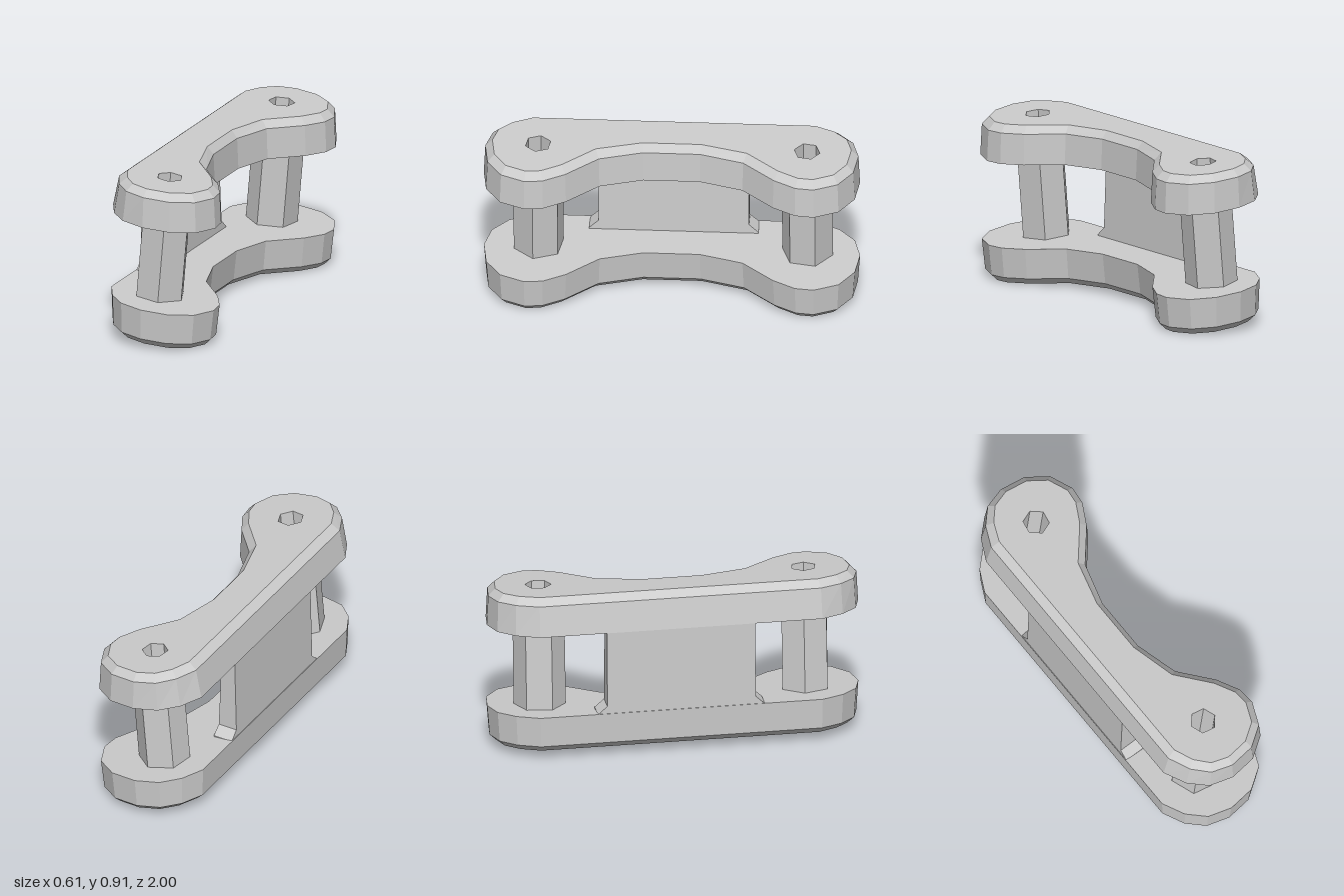
import * as THREE from 'three';

const SLOPE = -0.087;               // everything leans about 5 degrees
const PINS = [
  { v: -0.71, rot: 10 },            // front pin (v = -z)
  { v: 0.72, rot: -20 },            // back pin
];
const BORE = 0.07, PIN_R = 0.138;

const axisX = (y) => -0.005 + 0.087 * (y - 0.69);

// Hexagon around a pin axis, clockwise in (x, v)
function hexagon(pin, radius, y) {
  return Array.from({ length: 6 }, (_, i) => {
    const a = THREE.MathUtils.degToRad(pin.rot + i * 60);
    return new THREE.Vector2(axisX(y) + radius * Math.cos(a), pin.v - radius * Math.sin(a));
  });
}

// Shrinks a counter-clockwise outline by a constant distance
function insetLoop(loop, d) {
  const n = loop.length;
  return loop.map((p, i) => {
    const e1 = p.clone().sub(loop[(i + n - 1) % n]).normalize();
    const e2 = loop[(i + 1) % n].clone().sub(p).normalize();
    const m = new THREE.Vector2(-e1.y - e2.y, e1.x + e2.x);
    return p.clone().addScaledVector(m, d / (1 + e1.dot(e2)));
  });
}

// Skins stacked levels; each level is { y, loops: [outline, ...holes] }
function stack(levels, caps) {
  const pos = [], idx = [];
  const count = levels[0].loops.reduce((s, l) => s + l.length, 0);
  for (const { y, loops } of levels)
    for (const p of loops.flat()) pos.push(p.x, y + SLOPE * p.x, -p.y);

  for (let k = 0; k < levels.length - 1; k++) {
    let start = 0;
    for (const loop of levels[0].loops) {
      const n = loop.length;
      for (let i = 0; i < n; i++) {
        const a = k * count + start + i, b = k * count + start + (i + 1) % n;
        idx.push(a, b, b + count, a, b + count, a + count);
      }
      start += n;
    }
  }
  if (caps) {
    const top = (levels.length - 1) * count;
    const tris = (l) => THREE.ShapeUtils.triangulateShape(l.loops[0], l.loops.slice(1));
    for (const [a, b, c] of tris(levels[0])) idx.push(c, b, a);
    for (const [a, b, c] of tris(levels[levels.length - 1])) idx.push(top + a, top + b, top + c);
  }
  const g = new THREE.BufferGeometry();
  g.setAttribute('position', new THREE.Float32BufferAttribute(pos, 3));
  g.setIndex(idx);
  const flat = g.toNonIndexed();
  flat.computeVertexNormals();
  return flat;
}

// Plate outline: straight on one side, two round lobes and a waist on the other
const half = [
  [0.015, 0.15], [0.08, 0.38], [0.225, 0.55], [0.29, 0.67], [0.3, 0.77], [0.245, 0.9],
  [0.13, 0.98], [-0.02, 1], [-0.15, 0.965], [-0.24, 0.88], [-0.3, 0.76],
];
const outline = [...half, ...half.map(([x, v]) => [x, -v]).reverse()]
  .map(([x, v]) => new THREE.Vector2(x, v));

function plate(levels) {
  return stack(levels.map(({ y, inset, left = 0, dx }) => {
    const edge = insetLoop(outline, inset);
    for (const p of edge) p.x = (p.x < 0 ? p.x * (1 - left) : p.x) + dx;
    return { y, loops: [edge, ...PINS.map((p) => hexagon(p, BORE, y))] };
  }), true);
}

export function createModel() {
  const group = new THREE.Group();
  const material = new THREE.MeshStandardMaterial({ color: 0xcccccc, flatShading: true });
  const add = (name, geometry) => {
    const mesh = new THREE.Mesh(geometry, material);
    mesh.name = name;
    group.add(mesh);
  };

  // Upper and lower plates with chamfered outer rims
  add('upperPlate', plate([
    { y: 0.683, inset: 0, dx: 0.005 },
    { y: 0.849, inset: 0.008, left: 0.09, dx: 0.005 },
    { y: 0.888, inset: 0.045, left: 0.14, dx: 0.005 },
  ]));
  add('lowerPlate', plate([
    { y: 0.021, inset: 0.048, dx: -0.008 },
    { y: 0.056, inset: 0.012, dx: -0.012 },
    { y: 0.222, inset: 0, dx: -0.005 },
  ]));

  // Hollow six-sided pins between the plates
  PINS.forEach((pin, i) => {
    add(i ? 'backPin' : 'frontPin', stack([0.222, 0.683].map((y) => ({
      y, loops: [hexagon(pin, PIN_R, y).reverse(), hexagon(pin, BORE, y)],
    })), false));
  });

  // Side wall joining the plates, with small flares at its foot
  const side = new THREE.Shape([
    [-0.45, 0.22], [0.45, 0.22], [0.45, 0.245], [0.4, 0.29], [0.4, 0.725],
    [-0.4, 0.725], [-0.4, 0.29], [-0.45, 0.245],
  ].map(([z, y]) => new THREE.Vector2(z, y)));
  const wall = new THREE.ExtrudeGeometry(side, { depth: 1, bevelEnabled: false });
  wall.rotateY(-Math.PI / 2);
  const p = wall.attributes.position;
  for (let i = 0; i < p.count; i++) {
    const t = (p.getY(i) - 0.22) / 0.505;
    p.setX(i, p.getX(i) < -0.5 ? -0.302 + 0.012 * t : -0.19 - 0.02 * t);
  }
  wall.computeVertexNormals();
  add('sideWall', wall);

  return group;
}
